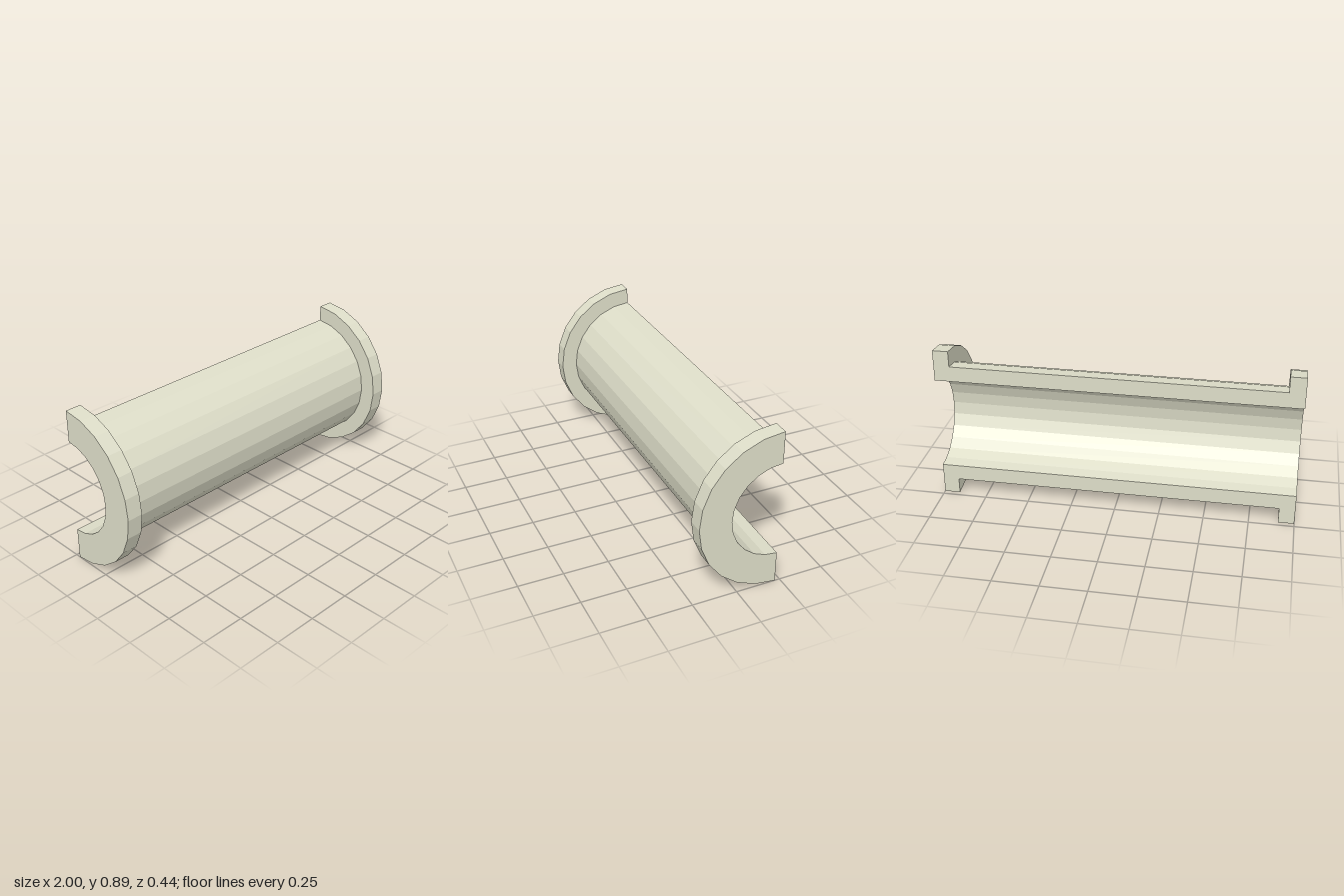
import * as THREE from 'three';

const BORE = 0.267, TUBE = 0.355, FLANGE = 0.445;
const END = 1, SHOULDER = 0.912;

export function createModel() {
  const group = new THREE.Group();
  group.name = 'flangedHalfSleeve';
  const material = new THREE.MeshStandardMaterial({ color: 0xddddc8, flatShading: true });

  // Wall section as (radius, position along the axis)
  const profile = [
    [BORE, -END], [FLANGE, -END], [FLANGE, -SHOULDER], [TUBE, -SHOULDER],
    [TUBE, SHOULDER], [FLANGE, SHOULDER], [FLANGE, END], [BORE, END],
  ].map(([r, a]) => new THREE.Vector2(r, a));

  const add = (name, geometry) => {
    const mesh = new THREE.Mesh(geometry, material);
    mesh.name = name;
    mesh.position.set(0, FLANGE, -FLANGE / 2);
    group.add(mesh);
  };

  // Half-turned shell with its axis laid along x
  const shell = new THREE.LatheGeometry([...profile, profile[0].clone()], 12, -Math.PI / 2, Math.PI);
  shell.rotateZ(-Math.PI / 2);
  add('halfSleeveShell', shell);

  // Flat cut faces closing the wall at the back
  const section = new THREE.Shape(profile.map((p) => new THREE.Vector2(p.y, p.x)));
  add('upperCutFace', new THREE.ShapeGeometry(section).rotateY(Math.PI));
  add('lowerCutFace', new THREE.ShapeGeometry(section).rotateX(Math.PI));

  return group;
}
